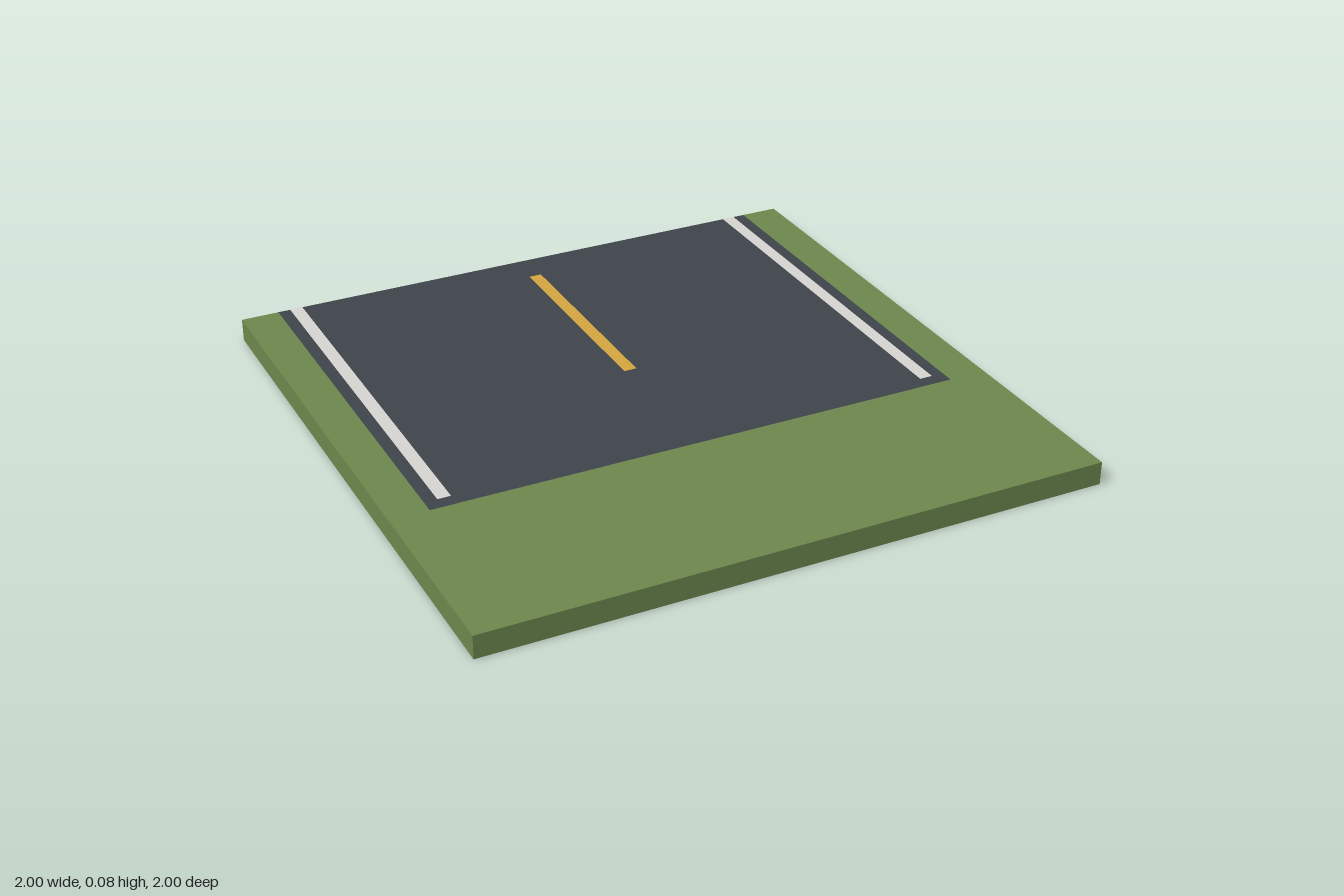
import * as THREE from 'three';

const HEIGHT = 0.075, ROAD_X = 0.875, ROAD_Z = 0.375;
const FACES = ['right', 'left', 'top', 'bottom', 'front', 'back'];

function material(name, color, side = THREE.FrontSide) {
  const m = new THREE.MeshStandardMaterial({ color, side });
  m.name = name;
  return m;
}

// Box between two corners, keeping only the named faces
function box(name, mat, [x0, y0, z0], [x1, y1, z1], keep = FACES) {
  const geo = new THREE.BoxGeometry(x1 - x0, y1 - y0, z1 - z0);
  const all = Array.from(geo.index.array);
  geo.setIndex(keep.flatMap((f) => {
    const start = FACES.indexOf(f) * 6;
    return all.slice(start, start + 6);
  }));
  geo.clearGroups();
  geo.translate((x0 + x1) / 2, (y0 + y1) / 2, (z0 + z1) / 2);
  const mesh = new THREE.Mesh(geo, mat);
  mesh.name = name;
  return mesh;
}

export function createModel() {
  const grass = material('grass green', 0x6d874d, THREE.DoubleSide);
  const asphalt = material('asphalt grey', 0x3f444b, THREE.DoubleSide);
  const white = material('line white', 0xd6d5d1);
  const yellow = material('line yellow', 0xd3a640);

  const model = new THREE.Group();
  model.name = 'roadEndTile';

  // Solid grass block in front of the road end
  model.add(box('frontGrass', grass, [-ROAD_X, 0, ROAD_Z], [ROAD_X, HEIGHT, 1]));

  // Road shell: top surface and rear edge, open underneath
  model.add(box('road', asphalt, [-ROAD_X, 0, -1], [ROAD_X, HEIGHT, ROAD_Z], ['top', 'back']));

  // Verges, hollow and open underneath, with an edge line beside each
  const verge = FACES.filter((f) => f !== 'bottom');
  const lineTop = HEIGHT + 0.001;
  for (const [side, s] of [['left', 1], ['right', -1]]) {
    const span = (a, b) => (s > 0 ? [a, b] : [-b, -a]);
    const [v0, v1] = span(ROAD_X, 1);
    model.add(box(side + 'Verge', grass, [v0, 0, -1], [v1, HEIGHT, 1], verge));
    const [l0, l1] = span(0.792, 0.834);
    model.add(box(side + 'EdgeLine', white, [l0, HEIGHT, -1], [l1, lineTop, 0.33], verge));
  }

  // Centre dash
  model.add(box('centreLine', yellow, [-0.021, HEIGHT, -0.875], [0.021, lineTop, -0.125], verge));

  return model;
}
